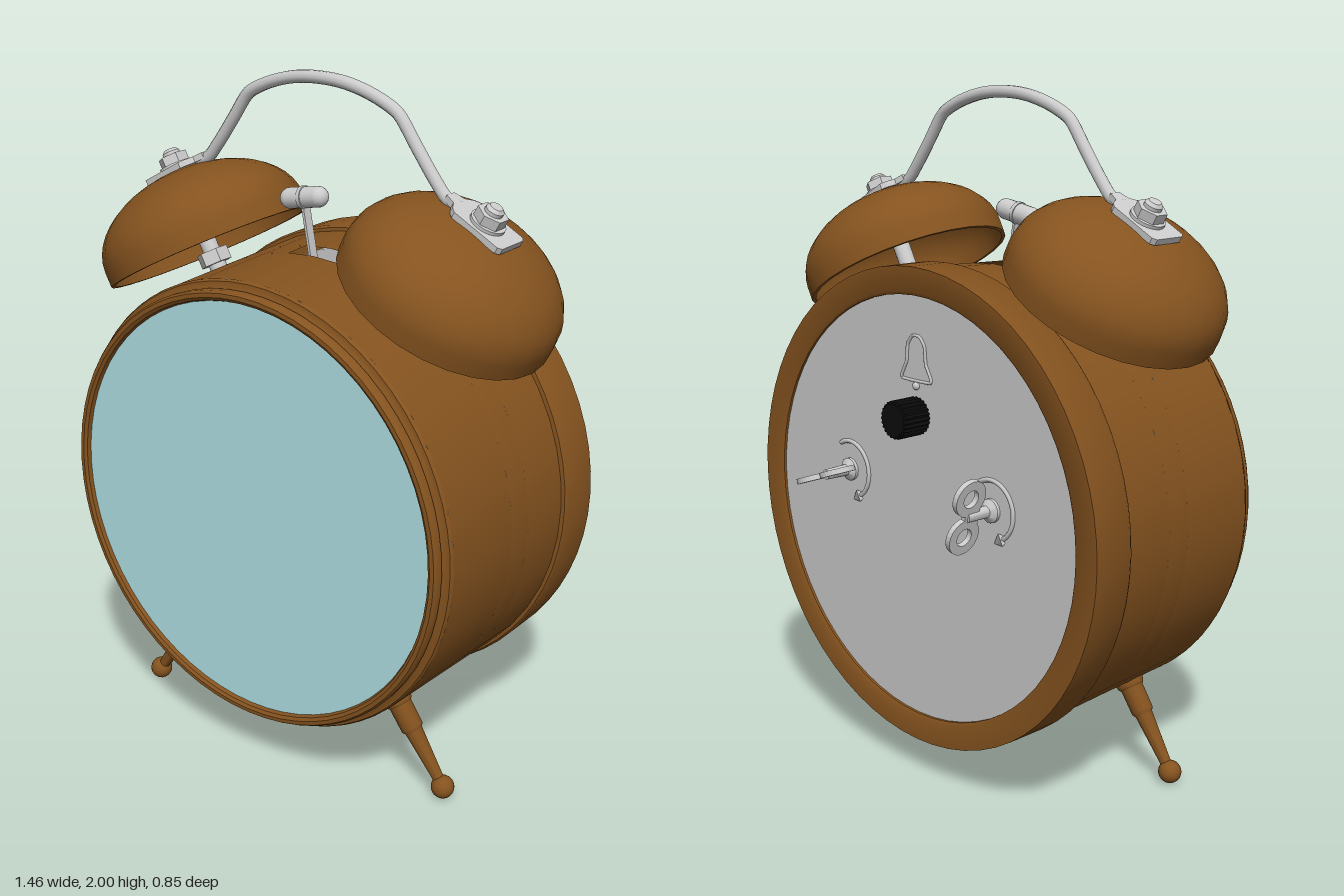
import * as THREE from 'three';
import { toCreasedNormals } from 'three/addons/utils/BufferGeometryUtils.js';

const mat = (color) => new THREE.MeshStandardMaterial({ color, side: THREE.DoubleSide });
const brown = mat(0x85531f), grey = mat(0xcccccc), glass = mat(0xb0e0e4), black = mat(0x0c0c0c);
const CY = 0.82; // height of the case axis

export function createModel() {
  const model = new THREE.Group();

  const add = (parent, name, geometry, material, x = 0, y = 0, z = 0) => {
    const mesh = new THREE.Mesh(geometry, material);
    mesh.name = name;
    mesh.position.set(x, y, z);
    parent.add(mesh);
    return mesh;
  };
  const group = (parent, name, x, y, z) => {
    const g = new THREE.Group();
    g.name = name;
    g.position.set(x, y, z);
    parent.add(g);
    return g;
  };
  const lathe = (pts, seg, start = 0, length = Math.PI * 2) => toCreasedNormals(
    new THREE.LatheGeometry(pts.map(([r, y]) => new THREE.Vector2(r, y)), seg, start, length), 0.6);
  const cyl = (r, h, seg = 16) => new THREE.CylinderGeometry(r, r, h, seg);

  // Case: turned parts along z, with a slot left open in the top for the hammer
  const body = group(model, 'case', 0, CY, 0);
  body.rotation.x = Math.PI / 2;
  const wall = (z) => [0.685 - 0.02 * (z + 0.15) / 0.52, z];
  const gap = 0.125;
  add(body, 'caseWallBack', lathe([wall(-0.15), wall(0.02)], 48), brown);
  add(body, 'caseWallSlotted', lathe([wall(0.02), wall(0.1)], 46, Math.PI + gap, 2 * (Math.PI - gap)), brown);
  add(body, 'caseWallFront', lathe([wall(0.1), wall(0.37)], 48), brown);
  add(body, 'frontBezel', lathe([[0.665, 0.37], [0.66, 0.379], [0.644, 0.381], [0.638, 0.386], [0.643, 0.392],
    [0.643, 0.412], [0.637, 0.421], [0.625, 0.422], [0.616, 0.416], [0.608, 0.395]], 64), brown);
  add(body, 'backRim', lathe([[0.62, -0.27], [0.62, -0.288], [0.63, -0.294], [0.7, -0.294], [0.7, -0.165],
    [0.694, -0.155], [0.68, -0.153]], 64), brown);
  add(model, 'glass', new THREE.CircleGeometry(0.613, 64), glass, 0, CY, 0.405);
  const plate = add(model, 'backPlate', new THREE.CircleGeometry(0.625, 64), grey, 0, CY, -0.28);
  plate.rotation.y = Math.PI;

  // Bell profile: inside surface, rim, then outside surface
  const dome = (r, h) => Array.from({ length: 13 }, (_, i) => {
    const t = (i / 12) * Math.PI / 2;
    return [r * Math.cos(t), 0.045 + h * Math.sin(t)];
  });
  const bellProfile = [...dome(0.303, 0.188).reverse(), [0.303, 0], [0.315, 0], ...dome(0.315, 0.2)];

  // Leg profile, measured outward from the case axis
  const legProfile = [[0, 0.62], [0.042, 0.62], [0.045, 0.67], [0.04, 0.685], [0.035, 0.69], [0.034, 0.765],
    [0.027, 0.775], [0.017, 0.925], [0.017, 0.94]];

  for (const s of [-1, 1]) {
    const side = s > 0 ? 'left' : 'right';

    // Bell with its post, clamp plate and nut
    const bell = group(model, side + 'BellAssembly', s * 0.415, 1.44, 0.06);
    bell.rotation.z = -s * 0.5;
    add(bell, side + 'Bell', lathe(bellProfile, 28), brown);
    add(bell, side + 'BellPost', cyl(0.026, 0.38), grey, 0, 0.05, 0);
    add(bell, side + 'PostNut', toCreasedNormals(cyl(0.048, 0.04, 6), 0.5), grey, 0, -0.03, 0);

    const outline = [[-0.09, -0.05], [-0.08, -0.062], [0.07, -0.062], [0.085, -0.05], [0.1, -0.026], [0.13, -0.018],
      [0.13, 0.018], [0.1, 0.026], [0.085, 0.05], [0.07, 0.062], [-0.08, 0.062], [-0.09, 0.05]];
    const clamp = new THREE.ExtrudeGeometry(
      new THREE.Shape(outline.map(([x, y]) => new THREE.Vector2(-s * x, y))), { depth: 0.018, bevelEnabled: false });
    clamp.rotateX(-Math.PI / 2);
    add(bell, side + 'HandlePlate', clamp, grey, 0, 0.238, 0);
    add(bell, side + 'Washer', cyl(0.05, 0.01, 24), grey, 0, 0.26, 0);
    add(bell, side + 'Nut', toCreasedNormals(cyl(0.044, 0.03, 6), 0.5), grey, 0, 0.278, 0);
    add(bell, side + 'Stud', lathe([[0.026, 0.28], [0.026, 0.303], [0.018, 0.312], [0, 0.313]], 16), grey);

    // Splayed leg with a ball foot
    const leg = group(model, side + 'LegAssembly', 0, CY, 0.21);
    leg.rotation.z = -s * (Math.PI - 0.611);
    add(leg, side + 'Leg', lathe(legProfile, 12), brown);
    add(leg, side + 'Foot', new THREE.SphereGeometry(0.034, 16, 12), brown, 0, 0.956, 0);
  }

  // Carrying handle, mirrored about the middle
  const half = [[-0.45, 1.695], [-0.415, 1.71], [-0.375, 1.755], [-0.315, 1.835], [-0.262, 1.908], [-0.245, 1.922],
    [-0.18, 1.952], [-0.09, 1.976]];
  const path = [...half, [0, 1.983], ...half.map(([x, y]) => [-x, y]).reverse()];
  const curve = new THREE.CatmullRomCurve3(path.map(([x, y]) => new THREE.Vector3(x, y, 0.06)));
  add(model, 'handle', new THREE.TubeGeometry(curve, 72, 0.018, 10), grey);

  // Hammer between the bells
  const hammer = group(model, 'hammer', -0.06, 1.645, 0.06);
  hammer.rotation.z = 0.18;
  const head = add(hammer, 'hammerHead', new THREE.CapsuleGeometry(0.03, 0.1, 6, 16), grey);
  head.rotation.z = Math.PI / 2;
  add(hammer, 'hammerCollar', cyl(0.033, 0.012), grey).rotation.z = Math.PI / 2;
  add(hammer, 'hammerArm', new THREE.BoxGeometry(0.008, 0.26, 0.03), grey, 0, -0.13, 0);

  // Knurled setting knob
  const ribs = Array.from({ length: 48 }, (_, i) => {
    const a = (i / 48) * Math.PI * 2, r = i % 2 ? 0.05 : 0.055;
    return new THREE.Vector2(r * Math.cos(a), r * Math.sin(a));
  });
  const knob = new THREE.ExtrudeGeometry(new THREE.Shape(ribs),
    { depth: 0.085, bevelThickness: 0.005, bevelSize: 0.004, bevelOffset: -0.004, bevelSegments: 1 });
  add(model, 'settingKnob', knob, black, -0.005, 1.1, -0.37);

  // Winding keys: two pierced lobes on a stem, each beside a raised turning arrow
  const lobe = new THREE.Shape().absarc(0, 0, 0.053, 0, Math.PI * 2);
  lobe.holes.push(new THREE.Path().absarc(0, 0, 0.026, 0, Math.PI * 2, true));
  const lobeGeo = new THREE.ExtrudeGeometry(lobe, { depth: 0.016, bevelEnabled: false, curveSegments: 14 });
  lobeGeo.translate(0, 0, -0.008);
  for (const [name, x, tilt] of [['leftKey', 0.3, -0.35], ['rightKey', -0.3, 1.82]]) {
    const key = group(model, name, x, 0.885, -0.275);
    key.rotation.order = 'ZYX';
    key.rotation.set(-Math.PI / 2, 0, tilt);
    add(key, name + 'Stem', lathe([[0.034, 0], [0.034, 0.014], [0.017, 0.026], [0.015, 0.1], [0, 0.1]], 16), grey);
    for (const s of [-1, 1]) add(key, name + 'Lobe', lobeGeo, grey, s * 0.058, 0.1, 0);
    add(key, name + 'Web', new THREE.BoxGeometry(0.05, 0.05, 0.016), grey, 0, 0.085, 0);

    const arrow = group(model, name + 'Arrow', x, 0.885, -0.281);
    arrow.rotation.z = Math.PI / 3;
    add(arrow, name + 'ArrowArc', new THREE.TorusGeometry(0.085, 0.007, 6, 28, Math.PI), grey);
    add(arrow, name + 'ArrowTip', new THREE.ConeGeometry(0.022, 0.04, 3), grey, -0.085, -0.015, 0).rotation.z = Math.PI;
  }

  // Raised bell outline above the knob
  const bellSide = [[0.015, 0.075], [0.035, 0.05], [0.04, 0], [0.062, -0.05]];
  const bellLine = [...bellSide, ...bellSide.map(([x, y]) => [-x, y]).reverse()]
    .map(([x, y]) => new THREE.Vector3(x, y, 0));
  const sign = group(model, 'alarmMark', 0, 1.25, -0.281);
  add(sign, 'alarmMarkOutline', new THREE.TubeGeometry(
    new THREE.CatmullRomCurve3(bellLine, true, 'catmullrom', 0.2), 48, 0.005, 5, true), grey);
  add(sign, 'alarmMarkClapper', new THREE.SphereGeometry(0.012, 10, 8), grey, 0, -0.066, 0);

  return model;
}
